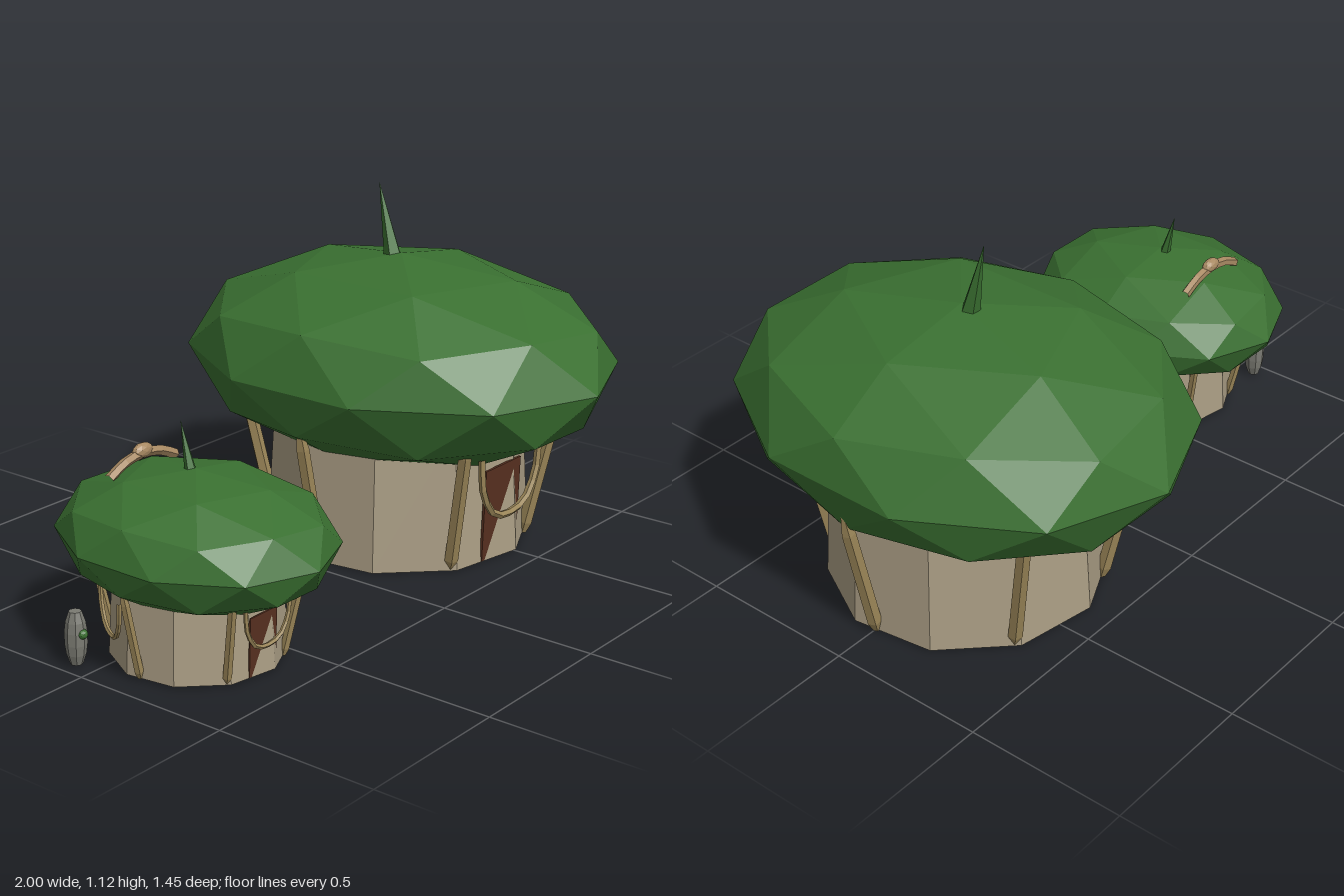
import * as THREE from 'three';

const flat = (name, color) => {
  const m = new THREE.MeshStandardMaterial({ color, flatShading: true });
  m.name = name;
  return m;
};

export function createModel() {
  const leaf = flat('leaf green', 0x3a7031);
  const clay = flat('clay wall', 0xaa9d84);
  const wood = flat('pale wood', 0x9c8759);
  const doorBrown = flat('door brown', 0x573020);
  const stone = flat('lantern grey', 0x7a7a72);
  const crestTan = flat('crest tan', 0xa98a63);

  const add = (parent, name, geo, mat) => {
    const m = new THREE.Mesh(geo, mat);
    m.name = name;
    parent.add(m);
    return m;
  };
  const lathe = (pts, sides) =>
    new THREE.LatheGeometry(pts.map(([x, y]) => new THREE.Vector2(x, y)), sides);
  const tube = (pts, steps, r) =>
    new THREE.TubeGeometry(new THREE.CatmullRomCurve3(pts.map((p) => new THREE.Vector3(...p))), steps, r, 5);
  const rad = THREE.MathUtils.degToRad;

  // Hanging rope, placed around the wall at an angle measured from +x to +z
  const rope = (parent, angle) => {
    const geo = tube([
      [-0.155, 0.36, 0], [-0.143, 0.25, 0], [-0.085, 0.165, 0], [0, 0.145, 0],
      [0.085, 0.165, 0], [0.143, 0.25, 0], [0.155, 0.36, 0],
    ], 12, 0.012);
    geo.translate(0, 0, 0.425);
    geo.rotateY(rad(90 - angle));
    add(parent, 'hangingRope', geo, wood);
  };

  const hut = (name) => {
    const g = new THREE.Group();
    g.name = name;

    // Ten sided, slightly tapered wall
    const wall = new THREE.CylinderGeometry(0.394, 0.42, 0.44, 10, 1, false, rad(8));
    wall.translate(0, 0.22, 0);
    add(g, 'wall', wall, clay);

    // Faceted canopy with a vertex at the top
    const roof = new THREE.IcosahedronGeometry(1, 1);
    roof.rotateZ(-Math.atan(2 / (1 + Math.sqrt(5))));
    roof.scale(0.582, 0.32, 0.724);
    roof.translate(0, 0.58, 0);
    add(g, 'roof', roof, leaf);

    // Thorn on the roof, leaning back
    const thorn = new THREE.ConeGeometry(0.034, 0.28, 5);
    thorn.translate(0, 0.14, 0);
    thorn.rotateX(-0.24);
    thorn.translate(0, 0.843, -0.022);
    add(g, 'roofThorn', thorn, leaf);

    // Six leaning pointed posts
    for (let i = 0; i < 6; i++) {
      const post = lathe([[0, 0], [0.012, 0], [0.022, 0.035], [0.021, 0.4], [0, 0.52]], 5);
      post.rotateZ(-0.22);
      post.translate(0.4, 0, 0);
      post.rotateY(rad(i * 60));
      add(g, 'post', post, wood);
    }

    // Flat door, partly sunk into the angled wall
    const door = new THREE.BoxGeometry(0.187, 0.295, 0.008);
    door.rotateX(0.033);
    door.translate(-0.001, 0.15, 0.3925);
    add(g, 'door', door, doorBrown);
    rope(g, 90);
    return g;
  };

  const model = new THREE.Group();
  model.name = 'hutPair';

  const big = hut('bigHut');
  big.position.set(0.446, 0.005, -0.002);
  model.add(big);

  const small = hut('smallHut');
  small.scale.setScalar(0.597);
  small.position.set(-0.67, 0.008, 0.135);
  rope(small, 210);
  rope(small, 330);
  model.add(small);

  // Upright lanterns beside the small hut, each with a green gem in front
  for (const side of [-1, 1]) {
    const lantern = new THREE.Group();
    lantern.name = 'lantern';
    lantern.position.set(-0.668 + side * 0.283, 0.008, -0.065);
    add(lantern, 'lanternBody', lathe(
      [[0, 0], [0.018, 0], [0.028, 0.03], [0.032, 0.06], [0.032, 0.097], [0.028, 0.127], [0.018, 0.157], [0, 0.157]], 8), stone);
    add(lantern, 'lanternGem', new THREE.IcosahedronGeometry(0.015, 1), leaf).position.set(0, 0.095, 0.027);
    model.add(lantern);
  }

  // Curved crest lying over the back of the small roof
  const crest = new THREE.Group();
  crest.name = 'crest';
  crest.position.set(-0.668, 0, -0.065);
  const bow = tube([[-0.134, 0.505, 0], [-0.07, 0.535, 0], [0, 0.545, 0], [0.07, 0.535, 0], [0.134, 0.505, 0]], 8, 0.015);
  add(crest, 'crestBow', bow, crestTan);
  const knob = new THREE.IcosahedronGeometry(1, 1);
  knob.scale(0.037, 0.022, 0.02);
  add(crest, 'crestKnob', knob, crestTan).position.y = 0.553;
  model.add(crest);

  return model;
}
